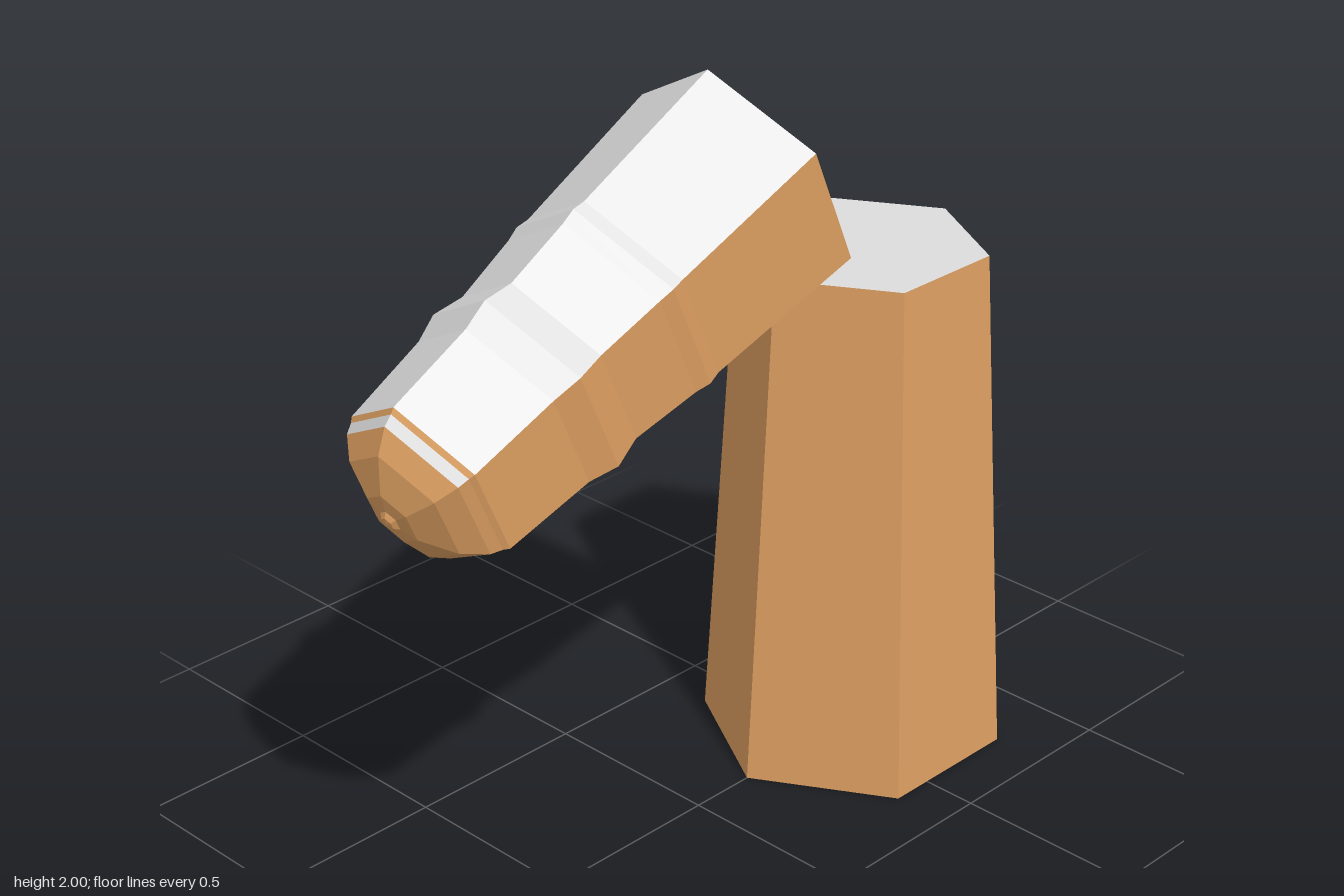
import * as THREE from 'three';

const wood = new THREE.MeshStandardMaterial({ name: 'tan', color: 0xdd9f61, flatShading: true, side: THREE.DoubleSide });
const pale = new THREE.MeshStandardMaterial({ name: 'paleGrey', color: 0xdcdcdc, flatShading: true, side: THREE.DoubleSide });

const SIDE = Math.PI / 3;

// Six-sided turned shell; 'first' and 'count' choose which of its facets to build
function hexShell(name, profile, material, first = 0, count = 6) {
  const points = profile.map(([r, y]) => new THREE.Vector2(r, y));
  const mesh = new THREE.Mesh(new THREE.LatheGeometry(points, count, first * SIDE, count * SIDE), material);
  mesh.name = name;
  return mesh;
}

export function createModel() {
  const model = new THREE.Group();

  // Upright tapered segment, open underneath
  const lower = new THREE.Group();
  lower.name = 'lowerSegment';
  lower.add(hexShell('lowerWall', [[0.405, 0], [0.323, 1.4]], wood));
  lower.add(hexShell('lowerTop', [[0.323, 1.4], [0, 1.4]], pale));
  lower.position.z = -0.588;
  model.add(lower);

  // Tilted segment, built along its own axis from back to tip
  const upper = new THREE.Group();
  upper.name = 'upperSegment';
  const body = [
    [0.325, 0], [0.292, 0.45], [0.297, 0.485], [0.287, 0.525],
    [0.264, 0.71], [0.281, 0.79], [0.258, 0.865], [0.238, 1.109],
  ];
  upper.add(hexShell('upperBack', [[0, 0], [0.325, 0]], wood));
  upper.add(hexShell('upperRidge', body, pale, 2, 2));
  upper.add(hexShell('upperSides', body, wood, 4, 4));

  // Thin collar, pale only on the upper facets, then the rounded tip
  const collar = [[0.228, 1.122], [0.215, 1.149]];
  upper.add(hexShell('tipRing', [[0.238, 1.109], [0.228, 1.122]], wood));
  upper.add(hexShell('collarRidge', collar, pale, 2, 2));
  upper.add(hexShell('collarSides', collar, wood, 4, 4));
  upper.add(hexShell('tip', [
    [0.215, 1.149], [0.165, 1.195], [0.075, 1.234], [0.03, 1.24], [0.018, 1.25], [0, 1.253],
  ], wood));
  upper.rotation.x = THREE.MathUtils.degToRad(113.6);
  upper.position.set(0, 1.703, -0.16);
  model.add(upper);

  return model;
}
